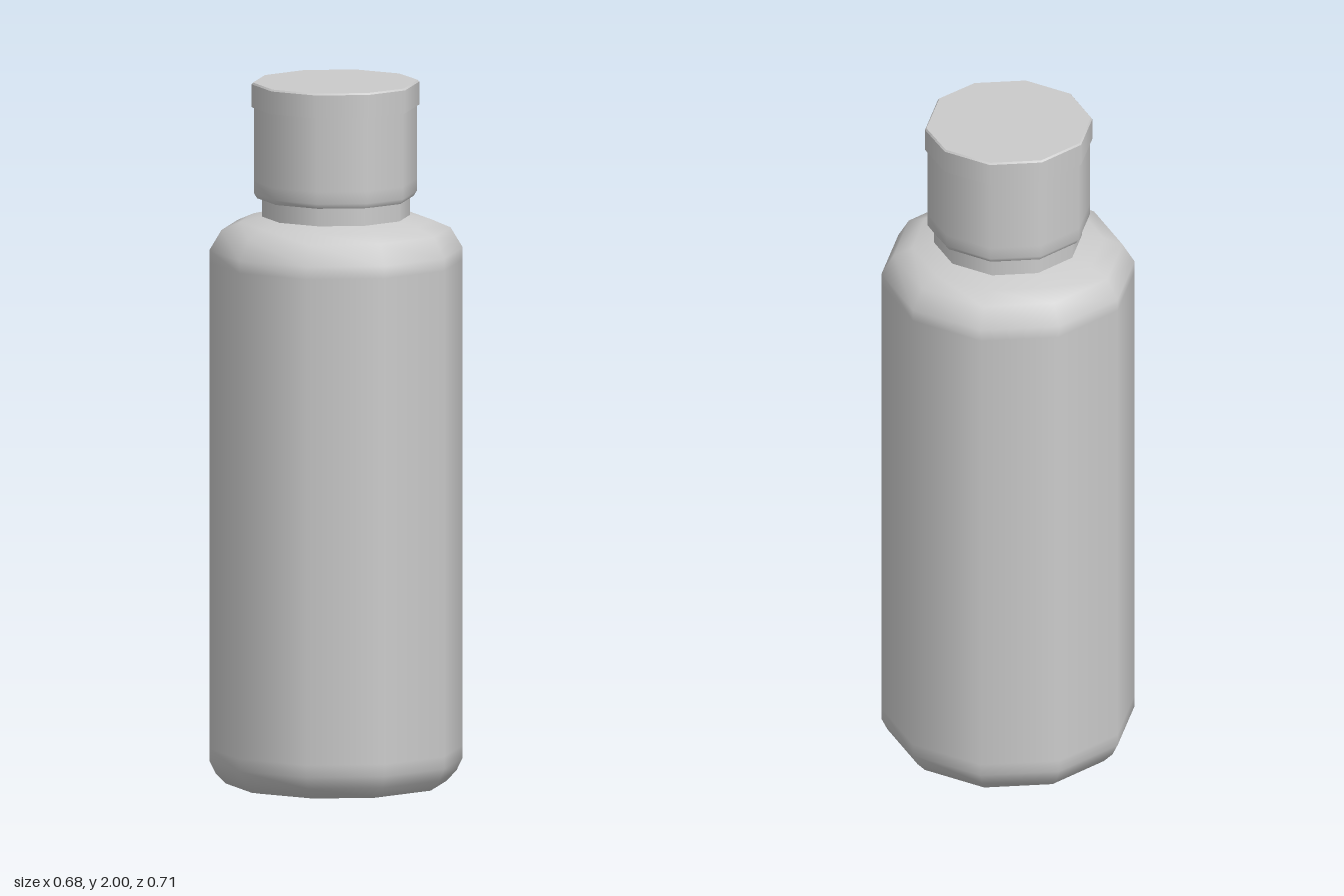
import * as THREE from 'three';

const SIDES = 10;
const material = new THREE.MeshStandardMaterial({ color: 0xcccccc });

// Ten-sided turned part; profile runs bottom to top as [radius, y]
function turned(name, profile, flatX) {
  const points = profile.map(([r, y]) => new THREE.Vector2(r, y));
  const geometry = new THREE.LatheGeometry(points, SIDES);
  if (flatX) {
    // Shave the +x facet slightly, widening it along z
    const p = geometry.attributes.position;
    for (let i = 0; i < p.count; i++) {
      const r = Math.hypot(p.getX(i), p.getZ(i));
      if (p.getX(i) > r * 0.9) {
        p.setX(i, p.getX(i) - r * 0.027);
        p.setZ(i, p.getZ(i) * 1.17);
      }
    }
  }
  const mesh = new THREE.Mesh(geometry, material);
  mesh.name = name;
  return mesh;
}

export function createModel() {
  const model = new THREE.Group();
  model.name = 'bottle';

  // Body: softened base, straight wall and rounded shoulder
  model.add(turned('body', [
    [0, 0], [0.28, 0.004], [0.312, 0.01], [0.34, 0.04], [0.357, 0.075], [0.357, 0.11],
    [0.357, 1.49], [0.357, 1.525], [0.323, 1.582], [0.27, 1.605], [0.205, 1.62],
  ]));

  model.add(turned('neck', [[0.209, 1.61], [0.209, 1.69]]));

  // Cap: underside, skirt and overhanging lid
  const cap = new THREE.Group();
  cap.name = 'cap';
  cap.add(
    turned('capUnderside', [[0.19, 1.671], [0.222, 1.671]], true),
    turned('capSkirt', [[0.222, 1.671], [0.231, 1.685], [0.231, 1.72], [0.231, 1.935]], true),
    turned('lidUnderside', [[0.225, 1.93], [0.238, 1.93]], true),
    turned('lidRim', [[0.238, 1.93], [0.238, 1.995]], true),
    turned('lidBevel', [[0.238, 1.995], [0.234, 2]], true),
    turned('lidTop', [[0.234, 2], [0, 2]], true),
  );
  model.add(cap);
  return model;
}
